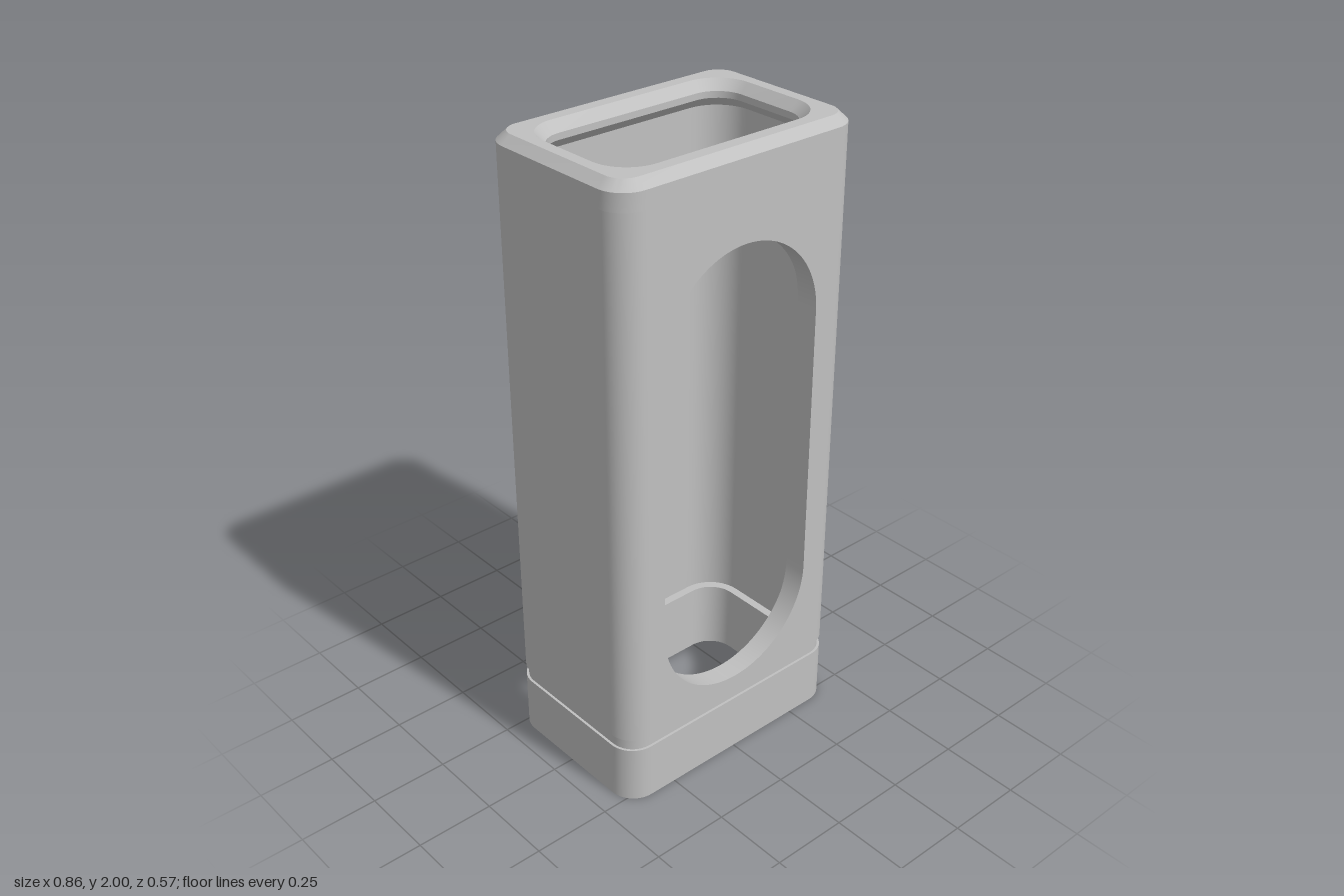
import * as THREE from 'three';
import { toCreasedNormals } from 'three/addons/utils/BufferGeometryUtils.js';

const SEG = 10;

// z of the front side of a rounded rectangle at a given x
function frontZ(hx, hz, r, x) {
  const d = Math.max(0, Math.abs(x) - (hx - r));
  return hz - r + Math.sqrt(r * r - d * d);
}

// Rounded rectangle outline from the front at x0, round the back, to the front at x1
function outline([hx, hz, r, y], x0, x1) {
  const cx = hx - r, cz = hz - r, pts = [];
  const cut = x => Math.asin(Math.max(0, (Math.abs(x) - cx) / r));
  const q = Math.PI / 2;
  const corners = [
    [1, 1, cut(x0), q], [1, -1, q, 2 * q],
    [-1, -1, 2 * q, 3 * q], [-1, 1, 3 * q, 4 * q - cut(x1)],
  ];
  pts.push([x0, y, frontZ(hx, hz, r, x0)]);
  for (const [sx, sz, a, b] of corners) {
    for (let i = 0; i <= SEG; i++) {
      const t = a + (b - a) * i / SEG;
      pts.push([sx * cx + r * Math.sin(t), y, sz * cz + r * Math.cos(t)]);
    }
  }
  pts.push([x1, y, frontZ(hx, hz, r, x1)]);
  return pts;
}

// Wall with a closed profile (outside going up, inside coming down), open between x1 and x0
function wall(profile, x0, x1) {
  const rows = profile.map(p => outline(p, x0, x1));
  const n = rows.length, m = rows[0].length, pos = [];
  for (let j = 0; j < n; j++) {
    const lo = rows[j], hi = rows[(j + 1) % n];
    for (let i = 0; i < m - 1; i++) {
      pos.push(...lo[i], ...lo[i + 1], ...hi[i + 1], ...lo[i], ...hi[i + 1], ...hi[i]);
    }
  }
  // End faces at the cuts
  if (x0 !== x1) {
    for (const k of [0, m - 1]) {
      const flat = rows.map(r => new THREE.Vector2(r[k][2], r[k][1]));
      for (const f of THREE.ShapeUtils.triangulateShape(flat, [])) {
        const ccw = THREE.ShapeUtils.area(f.map(i => flat[i])) > 0;
        const order = ccw === (k === 0) ? f : [f[0], f[2], f[1]];
        for (const i of order) pos.push(...rows[i][k]);
      }
    }
  }
  const g = new THREE.BufferGeometry();
  g.setAttribute('position', new THREE.Float32BufferAttribute(pos, 3));
  return toCreasedNormals(g, 0.45);
}

export function createModel() {
  const group = new THREE.Group();
  const grey = new THREE.MeshStandardMaterial({ color: 0xc0c0c0 });
  grey.name = 'grey plastic';
  const add = (name, geometry) => {
    const mesh = new THREE.Mesh(geometry, grey);
    mesh.name = name;
    group.add(mesh);
    return mesh;
  };
  // Box given by its limits
  const block = (name, x0, x1, y0, y1, z0, z1) =>
    add(name, new THREE.BoxGeometry(x1 - x0, y1 - y0, z1 - z0))
      .position.set((x0 + x1) / 2, (y0 + y1) / 2, (z0 + z1) / 2);

  const bottom = 0.23, lipY = 1.92, edge = 0.29;
  const cavity = [0.365, 0.216, 0.115];
  const outer = [0.428, 0.284, 0.085];
  const throat = [0.338, 0.188, 0.09];

  // Main sleeve, open at the front for the window panel
  add('sleeve', wall([
    [...outer, bottom], [...outer, lipY], [...cavity, lipY], [...cavity, bottom],
  ], edge, -edge));

  // Front panel with the long round-ended window
  const panel = new THREE.Shape();
  panel.moveTo(-edge, bottom).lineTo(edge, bottom).lineTo(edge, lipY).lineTo(-edge, lipY).closePath();
  const hole = new THREE.Path();
  hole.absarc(0, 1.445, 0.285, 0, Math.PI, false);
  hole.absarc(0, 0.565, 0.285, Math.PI, Math.PI * 2, false);
  hole.closePath();
  panel.holes.push(hole);
  const panelGeo = new THREE.ExtrudeGeometry(panel, {
    depth: outer[1] - cavity[1], bevelEnabled: false, curveSegments: 32,
  });
  panelGeo.translate(0, 0, cavity[1]);
  // Follow the rounded inside corners of the sleeve
  const p = panelGeo.attributes.position;
  for (let i = 0; i < p.count; i++) {
    if (p.getZ(i) < 0.25) p.setZ(i, frontZ(...cavity, p.getX(i)));
  }
  add('windowPanel', toCreasedNormals(panelGeo, 0.45));

  // Top rim: bevelled outside, funnel inside, with a lip over the cavity
  add('topRim', wall([
    [...outer, lipY], [...outer, 1.973], [0.4, 0.256, 0.06, 2], [0.365, 0.217, 0.115, 2],
    [...throat, 1.97], [...throat, 1.95], [...cavity, lipY],
  ], 0, 0));

  // Base with a groove above it, cut open at the back for the latch
  const groove = [0.42, 0.276, 0.077];
  add('base', wall([
    [...outer, 0], [...outer, 0.19], [...groove, 0.19], [...groove, bottom],
    [...throat, bottom], [...throat, 0],
  ], 0.32, -0.01)).rotation.y = Math.PI;

  // Springy latch arm in the back of the base, with its catch inside
  block('latchArm', -0.285, 0.01, 0, 0.19, -outer[1], -throat[1]);
  block('latchRib', -0.29, -0.265, 0, 0.19, -0.215, -0.14);
  block('latchCatch', -0.265, -0.2, 0.04, 0.19, -0.19, -0.163);

  return group;
}
